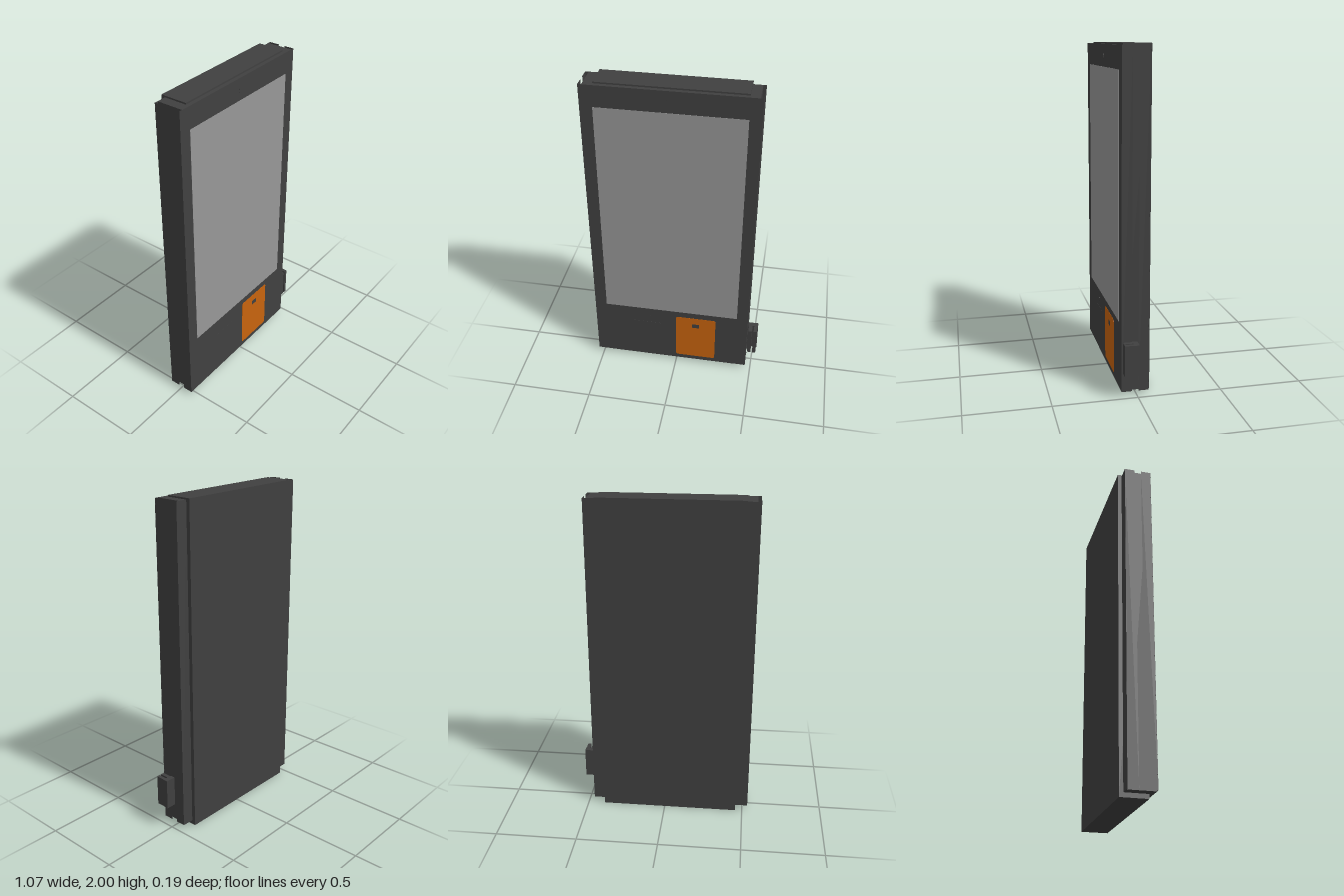
import * as THREE from 'three';

export function createModel() {
  const root = new THREE.Group();
  const dark = new THREE.MeshStandardMaterial({ color: 0x404040 });
  const sheetDark = new THREE.MeshStandardMaterial({ color: 0x404040, side: THREE.DoubleSide });
  const grey = new THREE.MeshStandardMaterial({ color: 0x979797 });
  const orange = new THREE.MeshStandardMaterial({ color: 0xc8640e });

  // box given by its min and max corners
  const box = (name, [x0, y0, z0], [x1, y1, z1], material = dark, parent = root) => {
    const mesh = new THREE.Mesh(new THREE.BoxGeometry(x1 - x0, y1 - y0, z1 - z0), material);
    mesh.position.set((x0 + x1) / 2, (y0 + y1) / 2, (z0 + z1) / 2);
    mesh.name = name;
    parent.add(mesh);
  };

  // thin rounded plate lying on the front face
  const plate = (name, x0, y0, x1, y1, r, z, material) => {
    const s = new THREE.Shape();
    s.moveTo(x0 + r, y0);
    s.lineTo(x1 - r, y0);
    s.absarc(x1 - r, y0 + r, r, -Math.PI / 2, 0);
    s.lineTo(x1, y1 - r);
    s.absarc(x1 - r, y1 - r, r, 0, Math.PI / 2);
    s.lineTo(x0 + r, y1);
    s.absarc(x0 + r, y1 - r, r, Math.PI / 2, Math.PI);
    s.lineTo(x0, y0 + r);
    s.absarc(x0 + r, y0 + r, r, Math.PI, Math.PI * 1.5);
    const geo = new THREE.ExtrudeGeometry(s, { depth: 0.001, bevelEnabled: false, curveSegments: 5 });
    const mesh = new THREE.Mesh(geo, material);
    mesh.position.z = z;
    mesh.name = name;
    root.add(mesh);
  };

  const bottom = 0.026, top = 1.991, left = -0.534, right = 0.466;
  const front = 0.091, back = -0.07;

  // core cabinet and the deeper mounting box behind it
  box('cabinetCore', [-0.513, bottom, back + 0.001], [0.447, top, front - 0.001]);
  box('mountingBox', [-0.457, 0, -0.093], [0.393, 2, 0.067]);

  // front and back sheets that overhang the core
  box('frontPanel', [left, bottom, front - 0.002], [right, top, front]);
  for (const [x0, x1] of [[left, -0.457], [0.393, right]])
    box('backPanelStrip', [x0, bottom, back], [x1, top, back + 0.002]);

  // folded side sheets, leaving an open channel along each side
  for (const x of [left + 0.0005, right - 0.0005])
    for (const [z0, z1] of [[back, -0.009], [0.03, front]]) {
      const sheet = new THREE.Mesh(new THREE.PlaneGeometry(z1 - z0, top - bottom), sheetDark);
      sheet.rotation.y = Math.PI / 2;
      sheet.position.set(x, (top + bottom) / 2, (z0 + z1) / 2);
      sheet.name = 'sideSheet';
      root.add(sheet);
    }

  // front face fittings
  plate('screen', -0.46, 0.433, 0.395, 1.861, 0.001, front, grey);
  plate('camera', -0.05, 1.905, -0.021, 1.938, 0.01, front, dark);
  plate('sensor', -0.196, 0.362, -0.171, 0.386, 0.0119, front, dark);
  plate('ticketSlot', -0.285, 0.28, -0.105, 0.319, 0.006, front, dark);
  plate('paymentPanel', 0, 0.054, 0.259, 0.391, 0.015, front, orange);
  plate('paymentWindow', 0.107, 0.311, 0.153, 0.341, 0.001, front + 0.0008, dark);

  // forked card reader on the left side
  const reader = new THREE.Group();
  reader.name = 'cardReader';
  root.add(reader);
  box('readerBase', [0.468, 0.147, 0], [0.531, 0.333, 0.03], dark, reader);
  for (const [x0, x1] of [[0.473, 0.496], [0.507, 0.528]])
    box('readerProng', [x0, 0.147, 0.03], [x1, 0.333, 0.085], dark, reader);

  return root;
}
